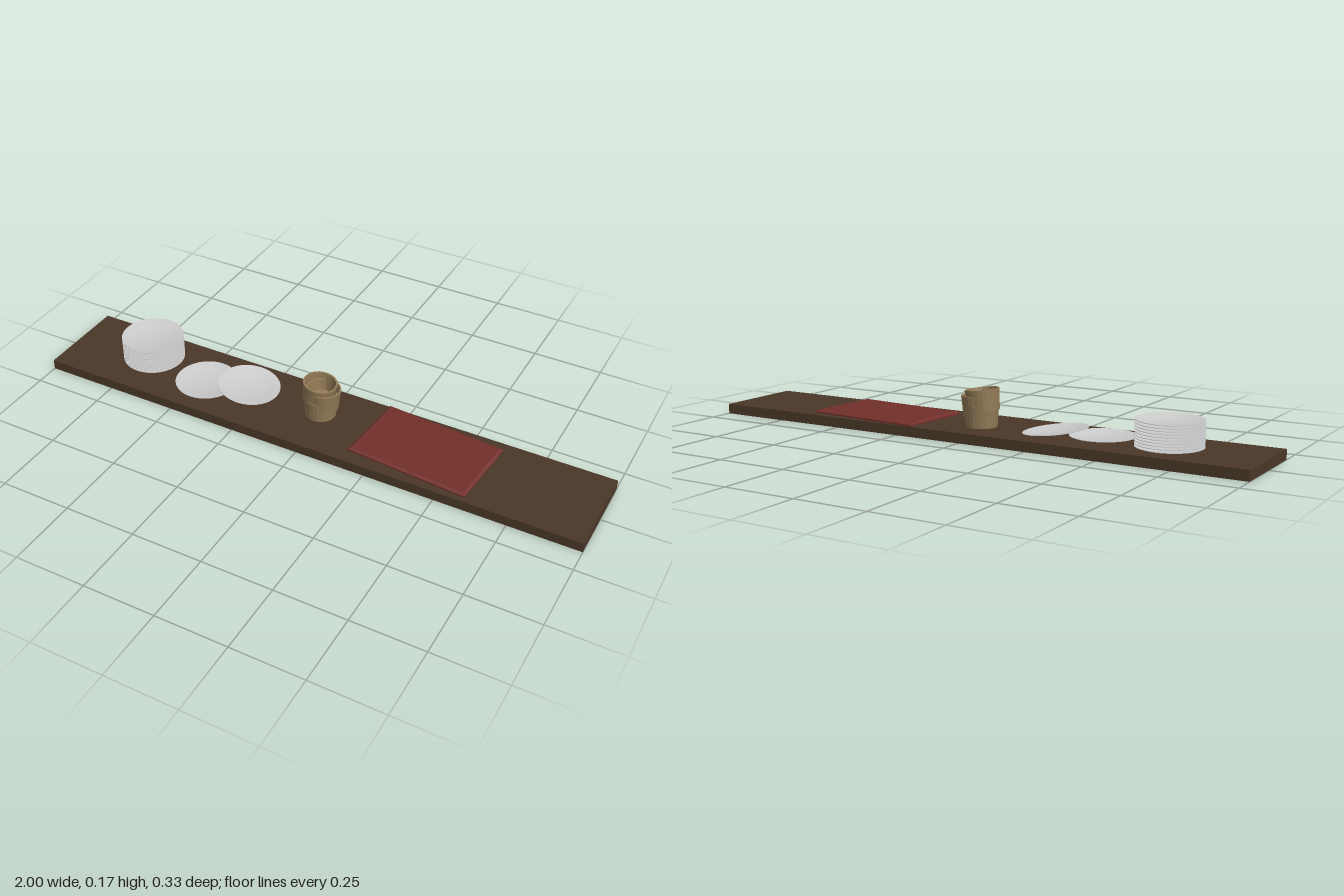
import * as THREE from 'three';
import { toCreasedNormals } from 'three/addons/utils/BufferGeometryUtils.js';

const SHELF_TOP = 0.035;
const material = (color, extra = {}) => new THREE.MeshStandardMaterial({ color, ...extra });
const lathe = (points, sides) =>
  new THREE.LatheGeometry(points.map(([r, y]) => new THREE.Vector2(r, y)), sides);

export function createModel() {
  const model = new THREE.Group();
  const wood = material(0x4a3828);
  const china = material(0xcccccc);
  const clay = material(0x927a56, { flatShading: true });
  const red = material(0x722f2a, { flatShading: true });

  const add = (name, geometry, mat, position, rotation = [0, 0, 0], parent = model) => {
    const mesh = new THREE.Mesh(geometry, mat);
    mesh.name = name;
    mesh.position.set(...position);
    mesh.rotation.set(...rotation);
    parent.add(mesh);
    return mesh;
  };

  // Shelf board
  add('shelf', new THREE.BoxGeometry(2, SHELF_TOP, 0.33), wood, [0, SHELF_TOP / 2, 0]);

  // Plate: flat foot, flared rim, shallow well
  const plate = toCreasedNormals(lathe([
    [0, 0], [0.066, 0], [0.11, 0.009], [0.11, 0.0105], [0.072, 0.004], [0.066, 0.0025], [0, 0.0025],
  ], 40), 0.5);

  // Stack of plates
  const stack = new THREE.Group();
  stack.name = 'plateStack';
  model.add(stack);
  for (let i = 0; i < 10; i++) {
    add('stackedPlate', plate, china, [-0.69, SHELF_TOP + i * 0.0094, -0.026], [0, 0, 0], stack);
  }

  // One plate lying flat and one leaning on its rim
  add('flatPlate', plate, china, [-0.443, SHELF_TOP, 0.012]);
  add('leaningPlate', plate, china, [-0.291, 0.044, -0.024], [-0.02, 0, -0.115]);

  // Nested cups: slightly tapered, hollow, with a thick lip
  const cup = lathe([
    [0, 0], [0.054, 0], [0.056, 0.036], [0.059, 0.072], [0.053, 0.072], [0.047, 0.008], [0, 0.008],
  ], 24);
  const cups = new THREE.Group();
  cups.name = 'cupStack';
  model.add(cups);
  add('bottomCup', cup, clay, [-0.007, SHELF_TOP, -0.025], [0, 0, 0], cups);
  add('middleCup', cup, clay, [0.002, 0.07, -0.025], [0, 0.4, -0.04], cups);
  add('topCup', cup, clay, [-0.016, 0.091, -0.025], [0, 0, -0.11], cups);

  // Slab with sloping edges, turned slightly on the shelf
  const height = 0.011, bevel = 0.009;
  const slab = new THREE.BoxGeometry(0.433, height, 0.276, 1, 2, 1);
  const p = slab.attributes.position;
  for (let i = 0; i < p.count; i++) {
    if (p.getY(i) > 0.001) {
      p.setX(i, p.getX(i) - Math.sign(p.getX(i)) * bevel);
      p.setZ(i, p.getZ(i) - Math.sign(p.getZ(i)) * bevel);
    }
  }
  slab.computeVertexNormals();
  add('redSlab', slab, red, [0.394, SHELF_TOP + height / 2, -0.009], [0, -0.081, 0]);

  return model;
}
